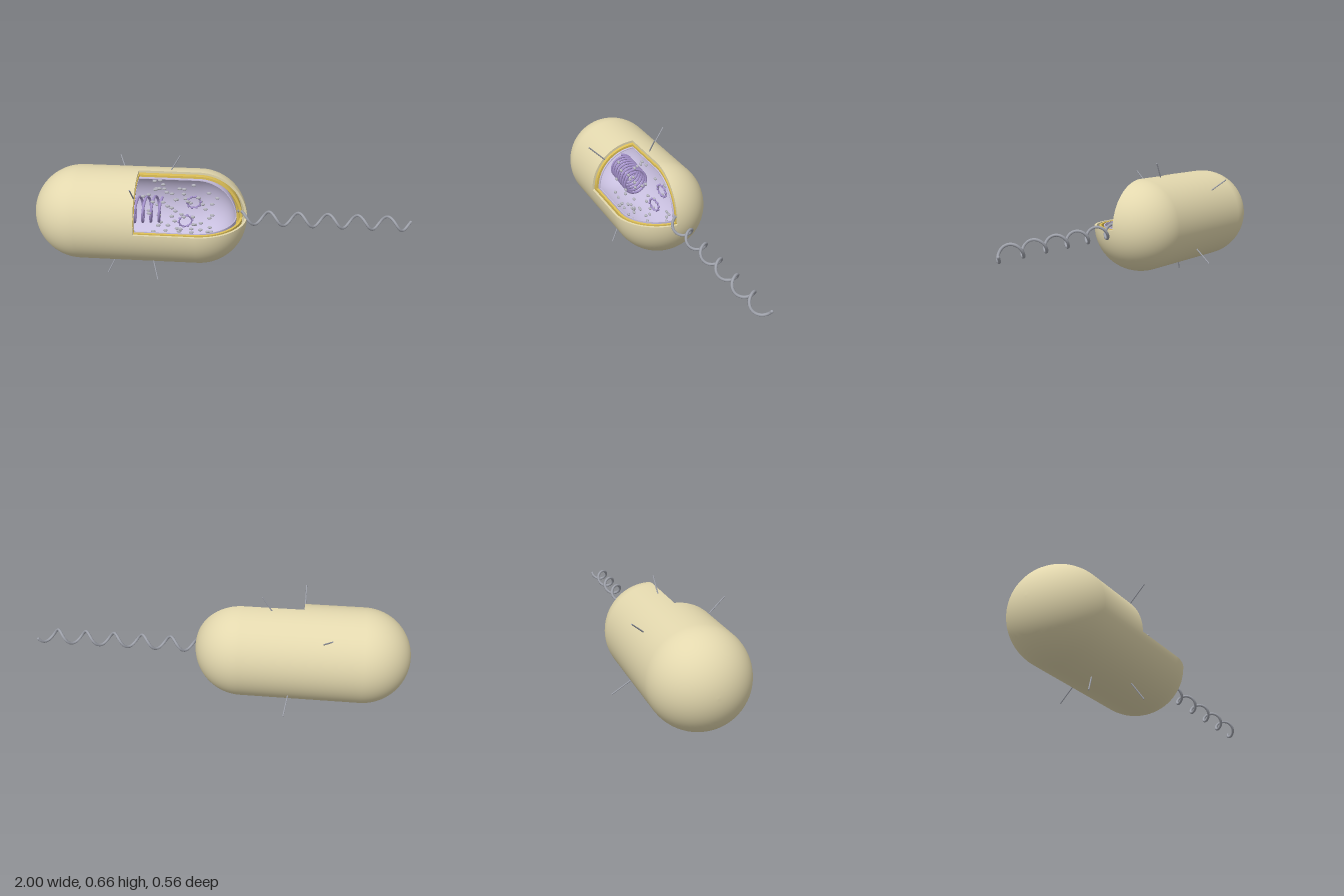
import * as THREE from 'three';

const material = (name, color, side = THREE.FrontSide) => {
  const m = new THREE.MeshStandardMaterial({ color, side });
  m.name = name;
  return m;
};

const AXIS = new THREE.Vector3(0, 0.3335, 0.017); // the body's long axis runs along x here
const LEFT = -0.7485, CUT = -0.435; // left end cap centre and start of the cutaway

export function createModel() {
  const model = new THREE.Group();
  model.name = 'bacterium';
  const body = new THREE.Group();
  body.name = 'body';
  body.position.copy(AXIS);
  model.add(body);

  const tan = material('tanWall', 0xe3d8ae, THREE.DoubleSide);
  const yellow = material('yellowWall', 0xe0c258, THREE.DoubleSide);
  const lavender = material('lavenderMembrane', 0xc9c0e0, THREE.DoubleSide);
  const purple = material('purpleStrand', 0xa592cc);
  const pale = material('greyGrain', 0xb4b4bd);
  const grey = material('greyFilament', 0x9fa2ab);

  const add = (name, geometry, mat, parent = body) => {
    const mesh = new THREE.Mesh(geometry, mat);
    mesh.name = name;
    parent.add(mesh);
    return mesh;
  };

  // Profile points are (radius, axial position); the lathe axis is laid along x
  const revolve = (pts, from, length) => {
    const g = new THREE.LatheGeometry(pts, Math.round(72 * length / (2 * Math.PI)), from, length);
    return g.rotateZ(-Math.PI / 2);
  };
  const arc = (r, centre, a0, a1, n = 20) => Array.from({ length: n + 1 }, (_, i) => {
    const a = a0 + (a1 - a0) * i / n;
    return new THREE.Vector2(Math.max(0, r * Math.cos(a)), centre + r * Math.sin(a));
  });
  const leftProfile = r => [...arc(r, LEFT, -Math.PI / 2, 0), new THREE.Vector2(r, CUT)];
  const rightProfile = (r, centre) => [new THREE.Vector2(r, CUT), ...arc(r, centre, 0, Math.PI / 2)];

  // One wall layer: a whole left part, three quarters of the right part, and the cut faces
  const layer = (name, outer, inner, right, mat) => {
    const group = new THREE.Group();
    group.name = name;
    body.add(group);
    const full = Math.PI * 2, most = Math.PI * 1.5;
    const outerRight = rightProfile(outer, right);
    const innerRight = rightProfile(inner, right).reverse();
    add(name + 'OutsideLeft', revolve(leftProfile(outer), 0, full), mat, group);
    add(name + 'OutsideRight', revolve(outerRight, 0, most), mat, group);
    add(name + 'InsideLeft', revolve(leftProfile(inner).reverse(), 0, full), mat, group);
    add(name + 'InsideRight', revolve(innerRight, 0, most), mat, group);
    const rim = [new THREE.Vector2(outer, CUT), new THREE.Vector2(inner, CUT)];
    add(name + 'CutRim', revolve(rim, most, Math.PI / 2), mat, group);
    const cutFace = side => new THREE.ShapeGeometry(new THREE.Shape(
      [...outerRight, ...innerRight].map(p => new THREE.Vector2(p.y, side * p.x))));
    add(name + 'CutUpright', cutFace(1), mat, group);
    add(name + 'CutFlat', cutFace(-1).rotateX(-Math.PI / 2), mat, group);
  };
  layer('outerWall', 0.2515, 0.239, -0.119, tan);
  layer('middleWall', 0.227, 0.215, -0.12, yellow);
  layer('innerMembrane', 0.208, 0.203, -0.131, lavender);

  const tube = (pts, radius, segments) => new THREE.TubeGeometry(
    new THREE.CatmullRomCurve3(pts), segments, radius, 8);

  // Coiled strand, its centre line drifting towards the body axis on the left
  const coil = [];
  for (let i = 0; i <= 160; i++) {
    const t = i / 160, a = t * 8 * Math.PI * 2;
    coil.push(new THREE.Vector3(-0.31 - 0.36 * t,
      0.052 - 0.06 * t + 0.067 * Math.cos(a), 0.037 - 0.06 * t + 0.067 * Math.sin(a)));
  }
  add('coiledStrand', tube(coil, 0.007, 480), purple);

  // Small beaded loops
  const loop = (x, y, z, ry) => {
    const group = new THREE.Group();
    group.name = 'beadedLoop';
    group.position.set(x, y, z);
    group.rotation.set(0.15, ry, 0);
    body.add(group);
    add('loopRing', new THREE.TorusGeometry(0.034, 0.004, 8, 40), purple, group);
    for (let i = 0; i < 10; i++) {
      const a = i / 10 * Math.PI * 2;
      add('loopBead', new THREE.SphereGeometry(0.007, 10, 8), purple, group)
        .position.set(0.037 * Math.cos(a), 0.037 * Math.sin(a), 0);
    }
  };
  loop(-0.155, 0.055, -0.045, 0.2);
  loop(-0.2, -0.047, -0.02, 0.3);

  // Grains in the open quarter (y, z), spread along the body
  const grain = new THREE.SphereGeometry(0.0075, 10, 8).scale(1.7, 1, 1);
  let seed = 7;
  const random = () => (seed = (seed * 16807) % 2147483647) / 2147483647;
  const addGrain = (x, y, z) => add('grain', grain, pale).position.set(x, y, z);
  const open = [
    [0.153, 0.103], [0.159, 0.058], [0.136, 0.11], [0.126, 0.11], [0.132, 0.088],
    [0.139, 0.068], [0.115, 0.088], [0.071, 0.158], [0.071, 0.133], [0.057, 0.128],
    [0.033, 0.165], [0.019, 0.162], [0.007, 0.172], [0.042, 0.044], [0.05, 0.022],
    [0.016, 0.05], [0.012, 0.035], [0.009, 0.01],
  ];
  open.forEach(([y, z], i) => addGrain(-0.4 + 0.3 * ((i * 7) % open.length) / open.length, y, z));

  // Grains in the remaining three quarters
  for (let i = 0; i < 60; i++) {
    const a = Math.PI * (0.5 + 1.5 * random()), r = 0.04 + 0.14 * Math.sqrt(random());
    addGrain(-0.42 + 0.38 * random(), r * Math.sin(a), r * Math.cos(a));
  }

  // Corkscrew tail
  const tail = [];
  for (let i = 0; i <= 120; i++) {
    const x = 0.085 + (0.993 - 0.085) * i / 120;
    const a = (x - 0.105) / 0.155 * Math.PI * 2;
    tail.push(new THREE.Vector3(x, 0.035 * Math.cos(a), 0.035 * Math.sin(a)));
  }
  add('tail', tube(tail, 0.0075, 300), grey);
  for (const p of [tail[0], tail[120]]) {
    add('tailEnd', new THREE.SphereGeometry(0.0075, 10, 8), grey).position.copy(p);
  }

  // Straight bristles: root and tip
  const bristles = [
    [-0.27, 0.58, -0.009, -0.22, 0.663, -0.018],
    [-0.437, 0.502, 0.187, -0.437, 0.593, 0.277],
    [-0.54, 0.493, -0.168, -0.583, 0.557, -0.242],
    [-0.376, 0.188, -0.178, -0.358, 0.113, -0.277],
    [-0.355, 0.125, 0.148, -0.325, 0.037, 0.204],
    [-0.57, 0.095, 0.072, -0.617, 0.002, 0.092],
  ];
  for (const b of bristles) {
    const root = new THREE.Vector3(b[0], b[1], b[2]), tip = new THREE.Vector3(b[3], b[4], b[5]);
    const dir = tip.clone().sub(root);
    const mesh = add('bristle', new THREE.CylinderGeometry(0.0035, 0.0035, dir.length(), 8), grey, model);
    mesh.position.copy(root).add(tip).multiplyScalar(0.5);
    mesh.quaternion.setFromUnitVectors(new THREE.Vector3(0, 1, 0), dir.normalize());
  }
  return model;
}
